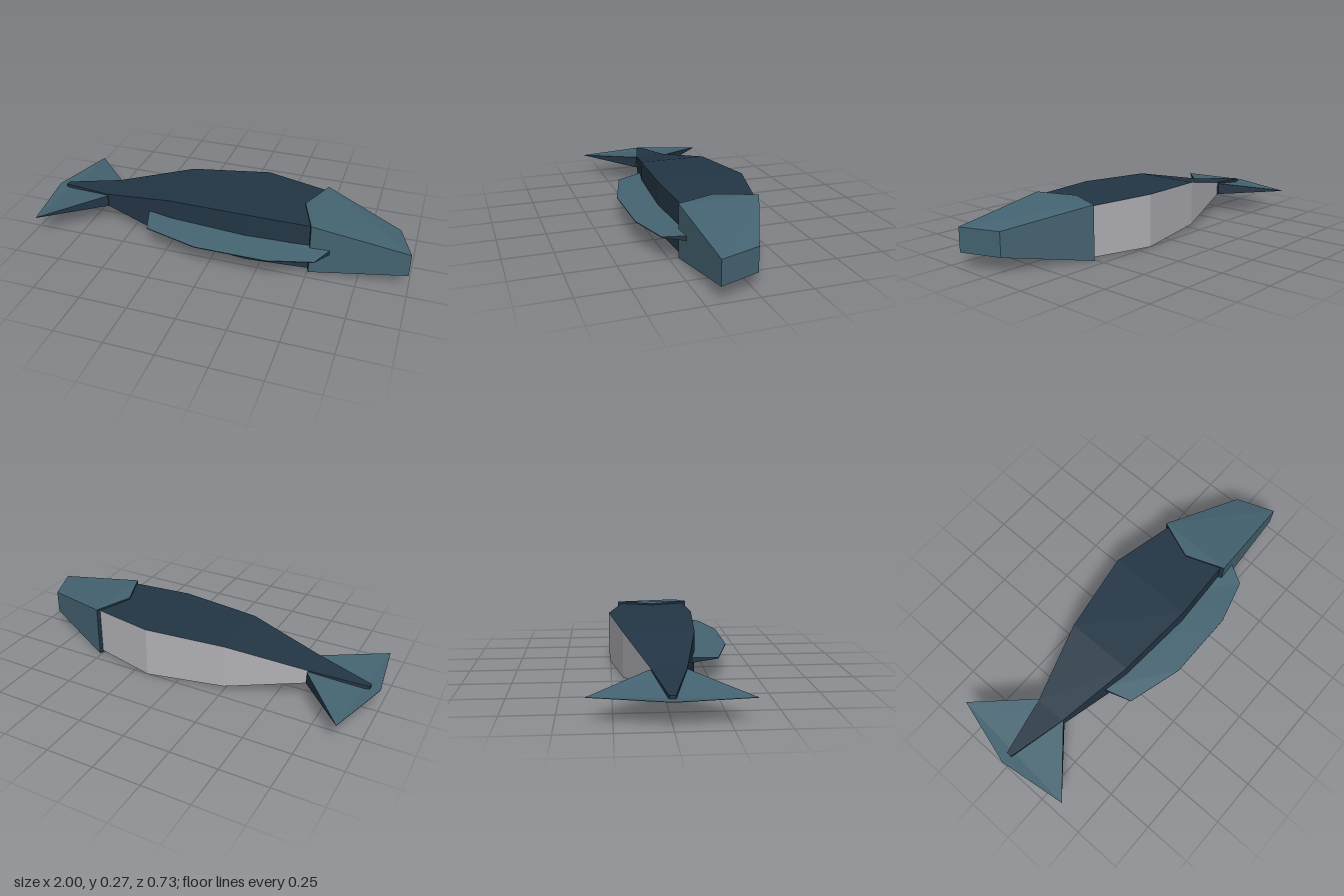
import * as THREE from 'three';

// Faceted strip running along +x. Each section has a -z corner p and a +z corner q,
// both [x, z, yLow, yHigh]. Material slots: 0 flanks, 1 -z side, 2 +z side, 3 end caps.
function strip(name, sections, materials) {
  const lo = (c) => [c[0], c[2], c[1]];
  const hi = (c) => [c[0], c[3], c[1]];
  const slots = [[], [], [], []];
  const quad = (slot, a, b, c, d) => slots[slot].push(a, b, c, a, c, d);

  for (let i = 0; i < sections.length - 1; i++) {
    const [p0, q0] = sections[i];
    const [p1, q1] = sections[i + 1];
    quad(0, hi(p0), hi(q0), hi(q1), hi(p1));
    quad(0, lo(p0), lo(p1), lo(q1), lo(q0));
    quad(1, lo(p0), hi(p0), hi(p1), lo(p1));
    quad(2, lo(q0), lo(q1), hi(q1), hi(q0));
  }
  const [ps, qs] = sections[0];
  const [pe, qe] = sections[sections.length - 1];
  quad(3, lo(ps), lo(qs), hi(qs), hi(ps));
  quad(3, lo(pe), hi(pe), hi(qe), lo(qe));

  const geometry = new THREE.BufferGeometry();
  geometry.setAttribute('position', new THREE.Float32BufferAttribute(slots.flat(2), 3));
  let start = 0;
  slots.forEach((verts, slot) => {
    geometry.addGroup(start, verts.length, slot);
    start += verts.length;
  });
  geometry.computeVertexNormals(); // unshared corners give flat facets
  const mesh = new THREE.Mesh(geometry, materials);
  mesh.name = name;
  return mesh;
}

function material(name, color) {
  const m = new THREE.MeshStandardMaterial({ color });
  m.name = name;
  return m;
}

export function createModel() {
  const navy = material('dark blue skin', 0x233645);
  const teal = material('teal fins and head', 0x456472);
  const grey = material('pale belly', 0xb2b2b8);
  const allTeal = [teal, teal, teal, teal];
  const darkEdged = [teal, navy, navy, navy];

  const model = new THREE.Group();
  model.name = 'fish';

  // Body: fish lies on its side, belly toward -z and back toward +z
  const bodySection = ([x, zBelly, zBack, yLow, yHigh]) =>
    [[x, zBelly, yLow, yHigh], [x, zBack, yLow, yHigh]];
  const stations = [
    [-0.65, -0.075, 0.09, 0.102, 0.176],
    [-0.25, -0.19, 0.17, 0.022, 0.258],
    [0.17, -0.255, 0.2, 0.004, 0.275],
    [0.505, -0.18, 0.185, 0.013, 0.265],
  ];
  model.add(strip('body', stations.map(bodySection), [navy, grey, navy, navy]));

  // Tail stem tapering over the tail fin
  const stem = [[-0.95, -0.018, 0.01, 0.122, 0.143], stations[0]];
  model.add(strip('tailStem', stem.map(bodySection), [navy, navy, navy, navy]));

  // Head wedge with a pointed gill cover behind it
  const cheek = [[0.51, -0.2, 0.002, 0.276], [0.505, 0.204, 0.002, 0.276]];
  const gillPoint = [0.43, 0, 0.002, 0.276];
  const head = new THREE.Group();
  head.name = 'head';
  head.add(
    strip('gillCover', [[gillPoint, gillPoint], cheek], darkEdged),
    strip('snout', [cheek, [[0.92, -0.02, 0.078, 0.2], [0.995, 0.182, 0.078, 0.2]]], allTeal),
  );
  model.add(head);

  // Tail fin: thick at the root, sharp at the trailing edge
  const tailEnd = [-1, -0.005, 0.128, 0.13];
  model.add(strip('tailFin', [
    [tailEnd, tailEnd],
    [[-0.9, -0.365, 0.125, 0.127], [-0.95, 0.356, 0.125, 0.127]],
    [[-0.65, -0.085, 0.106, 0.17], [-0.65, 0.095, 0.106, 0.17]],
  ], darkEdged));

  // Dorsal fin: long thin wedge along the back
  const dorsal = [
    [-0.39, 0.12, -0.34, 0.28],
    [-0.05, 0.12, -0.05, 0.362],
    [0.32, 0.12, 0.32, 0.362],
    [0.62, 0.17, 0.55, 0.3],
  ].map(([x0, z0, x1, z1]) => [[x0, z0, 0.126, 0.157], [x1, z1, 0.136, 0.14]]);
  model.add(strip('dorsalFin', dorsal, darkEdged));

  return model;
}
